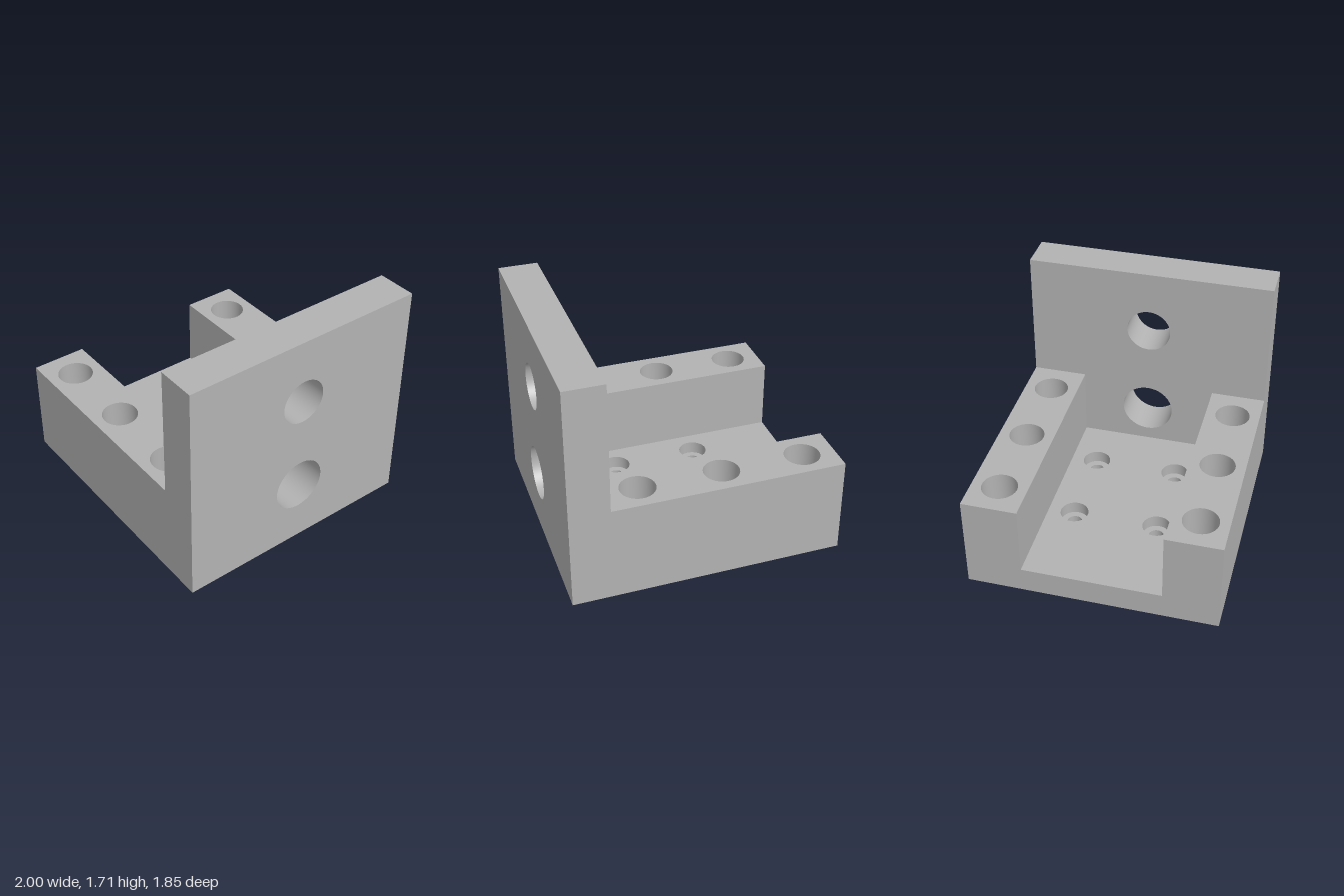
import * as THREE from 'three';
import { toCreasedNormals } from 'three/addons/utils/BufferGeometryUtils.js';

const DEPTH = 0.925;      // half size in z
const WALL_X = 0.708;     // inner face of the upright wall
const FLOOR_Y = 0.195;    // channel floor
const RAIL_Y = 0.73;      // top of the rails
const RAIL_Z = 0.515;     // inner face of the rails

// Rectangular plate with round holes [u, v, radius], smooth inside the bores
function drilledPlate(u0, u1, v0, v1, thickness, holes) {
  const shape = new THREE.Shape();
  shape.moveTo(u0, v0).lineTo(u1, v0).lineTo(u1, v1).lineTo(u0, v1).closePath();
  for (const [u, v, r] of holes) {
    shape.holes.push(new THREE.Path().absarc(u, v, r, 0, Math.PI * 2, true));
  }
  const geometry = new THREE.ExtrudeGeometry(shape, { depth: thickness, bevelEnabled: false, curveSegments: 32 });
  return toCreasedNormals(geometry, 0.6);
}

export function createModel() {
  const group = new THREE.Group();
  const grey = new THREE.MeshStandardMaterial({ color: 0xb2b2b2 });
  grey.name = 'machinedGrey';

  const add = (name, geometry) => {
    const mesh = new THREE.Mesh(geometry, grey);
    mesh.name = name;
    group.add(mesh);
  };
  // Plate lying flat, from height y0 to y1
  const flat = (z0, z1, y0, y1, holes) =>
    drilledPlate(-1, WALL_X, -z1, -z0, y1 - y0, holes.map(([x, z, r]) => [x, -z, r]))
      .rotateX(-Math.PI / 2).translate(0, y0, 0);

  // Base floor: narrow through holes below, wider counterbores above
  const bolts = (r) => [-1, 1].flatMap((sx) => [-1, 1].map((sz) => [sx * 0.317, sz * 0.317, r]));
  const step = 0.1;
  add('baseLower', flat(-DEPTH, DEPTH, 0, step, bolts(0.057)));
  add('baseCounterbored', flat(-DEPTH, DEPTH, step, FLOOR_Y, bolts(0.105)));

  // Side rails with three blind bores each
  for (const [name, side] of [['frontRail', 1], ['backRail', -1]]) {
    const bores = [-0.76, -0.15, 0.46].map((x) => [x, side * 0.72, 0.13]);
    const z0 = side > 0 ? RAIL_Z : -DEPTH;
    add(name, flat(z0, z0 + DEPTH - RAIL_Z, FLOOR_Y, RAIL_Y, bores));
  }

  // Upright end wall with two bores running along x
  add('endWall', drilledPlate(-DEPTH, DEPTH, 0, 1.71, 1 - WALL_X, [[0, 1.222, 0.168], [0, 0.49, 0.198]])
    .rotateY(Math.PI / 2).translate(WALL_X, 0, 0));

  return group;
}
